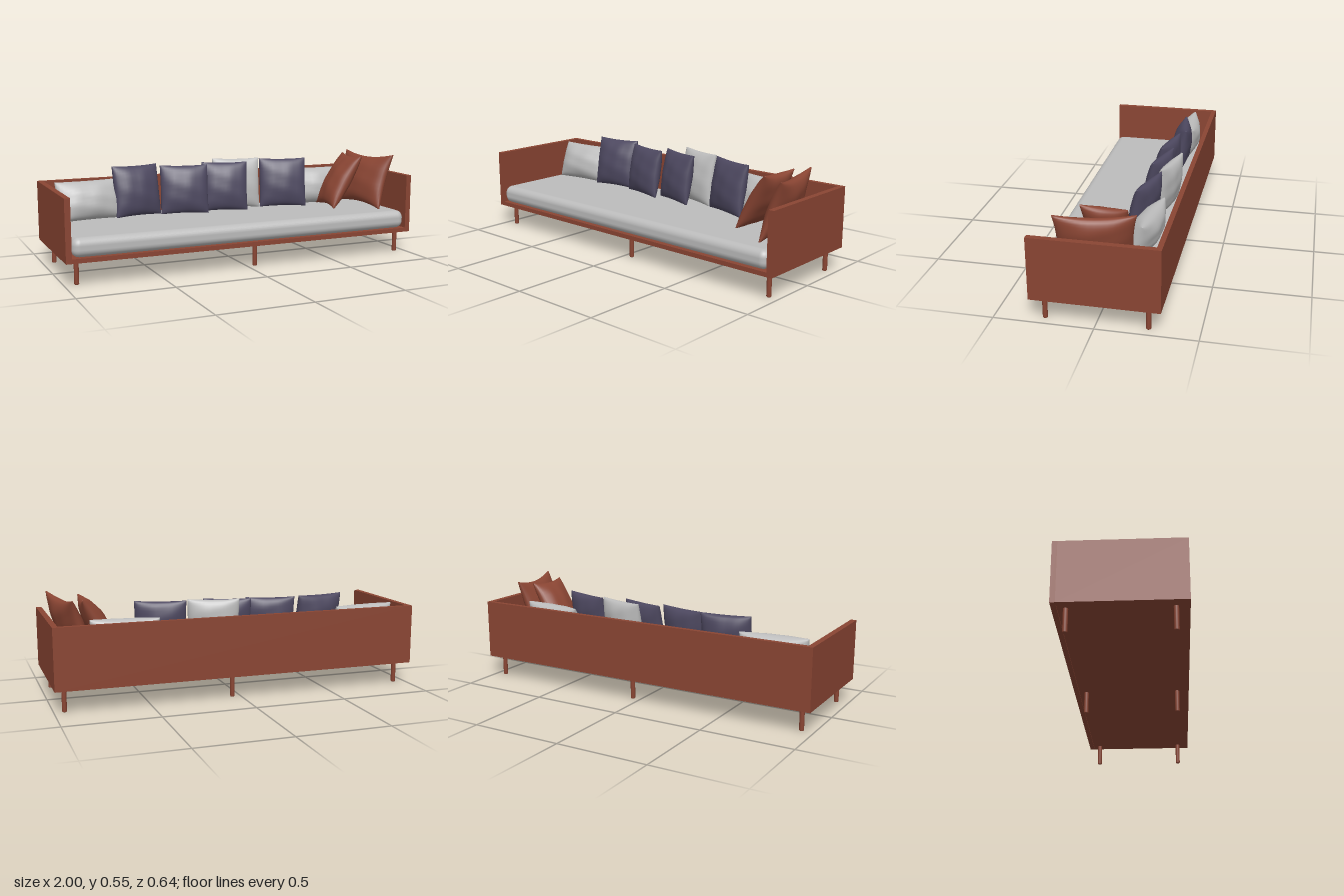
import * as THREE from 'three';
import { mergeVertices } from 'three/addons/utils/BufferGeometryUtils.js';
import { RoundedBoxGeometry } from 'three/addons/geometries/RoundedBoxGeometry.js';

const rust = new THREE.MeshStandardMaterial({ color: 0x8a4533 });
rust.name = 'rust';
const grey = new THREE.MeshStandardMaterial({ color: 0xbcbcbc });
grey.name = 'light grey';
const plum = new THREE.MeshStandardMaterial({ color: 0x4d4860 });
plum.name = 'dark plum';

// Stuffed pillow: a box grid swollen in the middle, thin at the seam, edges drawn in between the corners
function pillowGeometry(w, h, t, pinch, seed) {
  const geo = new THREE.BoxGeometry(2, 2, 2, 20, 20, 1);
  const p = geo.attributes.position;
  for (let i = 0; i < p.count; i++) {
    const u = Math.sin(p.getX(i) * Math.PI / 2);
    const v = Math.sin(p.getY(i) * Math.PI / 2);
    const swell = Math.pow(Math.max(0, (1 - u * u) * (1 - v * v)), 0.5);
    const crease = 1 + 0.06 * Math.sin(6 * u + 4 * v + seed) * Math.cos(5 * v - 3 * u + seed);
    p.setXYZ(i,
      w / 2 * u * (1 - pinch * 0.5 * (1 - v * v)),
      h / 2 * v * (1 - pinch * (1 - u * u)),
      p.getZ(i) * (0.003 + t / 2 * swell * crease));
  }
  geo.deleteAttribute('normal');
  geo.deleteAttribute('uv');
  const smooth = mergeVertices(geo, 1e-5);
  smooth.computeVertexNormals();
  return smooth;
}

export function createModel() {
  const model = new THREE.Group();
  model.name = 'sofa';

  const add = (name, geo, mat, x, y, z) => {
    const mesh = new THREE.Mesh(geo, mat);
    mesh.name = name;
    mesh.position.set(x, y, z);
    model.add(mesh);
    return mesh;
  };

  // Panel frame
  add('basePanel', new THREE.BoxGeometry(1.94, 0.023, 0.61), rust, 0, 0.1335, 0.013);
  add('backPanel', new THREE.BoxGeometry(2, 0.326, 0.026), rust, 0, 0.285, -0.307);
  for (const s of [-1, 1]) {
    add(s > 0 ? 'leftArm' : 'rightArm', new THREE.BoxGeometry(0.03, 0.326, 0.612), rust, s * 0.985, 0.285, 0.012);
  }

  // Legs with a small bevel at the foot
  const legGeo = new THREE.LatheGeometry([
    [0, 0], [0.009, 0], [0.0125, 0.004], [0.0125, 0.125],
  ].map(([r, y]) => new THREE.Vector2(r, y)), 16);
  for (const x of [-0.935, 0.045, 0.945]) {
    for (const z of [-0.253, 0.253]) add('leg', legGeo, rust, x, 0, z);
  }

  // Seat cushion
  add('seatCushion', new RoundedBoxGeometry(1.93, 0.1, 0.612, 4, 0.04), grey, 0, 0.195, 0.014);

  // Loose pillows, each resting on the seat: centre x, z, size, yaw, backward lean, edge pinch
  const pillows = [
    ['greyPillow', grey, -0.75, -0.175, 0.36, 0.22, 0.14, 0.1, 0.35, 0.04],
    ['darkPillow', plum, -0.48, -0.175, 0.27, 0.285, 0.11, 0.14, 0.2, 0.04],
    ['darkPillow', plum, -0.212, -0.135, 0.27, 0.275, 0.1, -0.22, 0.17, 0.04],
    ['darkPillow', plum, 0.035, -0.133, 0.26, 0.28, 0.1, -0.27, 0.17, 0.04],
    ['greyPillow', grey, 0.135, -0.2, 0.275, 0.29, 0.1, -0.25, 0.15, 0.04],
    ['darkPillow', plum, 0.405, -0.128, 0.275, 0.285, 0.1, -0.28, 0.17, 0.04],
    ['greyPillow', grey, 0.61, -0.175, 0.36, 0.22, 0.14, -0.12, 0.35, 0.04],
    ['rustPillow', rust, 0.72, -0.015, 0.235, 0.345, 0.11, -Math.PI / 2 - 0.06, 0.53, 0.1],
    ['rustPillow', rust, 0.867, 0.018, 0.39, 0.325, 0.11, -Math.PI / 2 + 0.2, 0.32, 0.17],
  ];
  pillows.forEach(([name, mat, x, z, w, h, t, yaw, lean, pinch], i) => {
    const geo = pillowGeometry(w, h, t, pinch, i * 1.7);
    geo.applyMatrix4(new THREE.Matrix4().makeRotationFromEuler(new THREE.Euler(-lean, yaw, 0, 'YXZ')));
    geo.computeBoundingBox();
    const c = geo.boundingBox.getCenter(new THREE.Vector3());
    add(name, geo, mat, x - c.x, 0.243 - geo.boundingBox.min.y, z - c.z);
  });

  return model;
}
